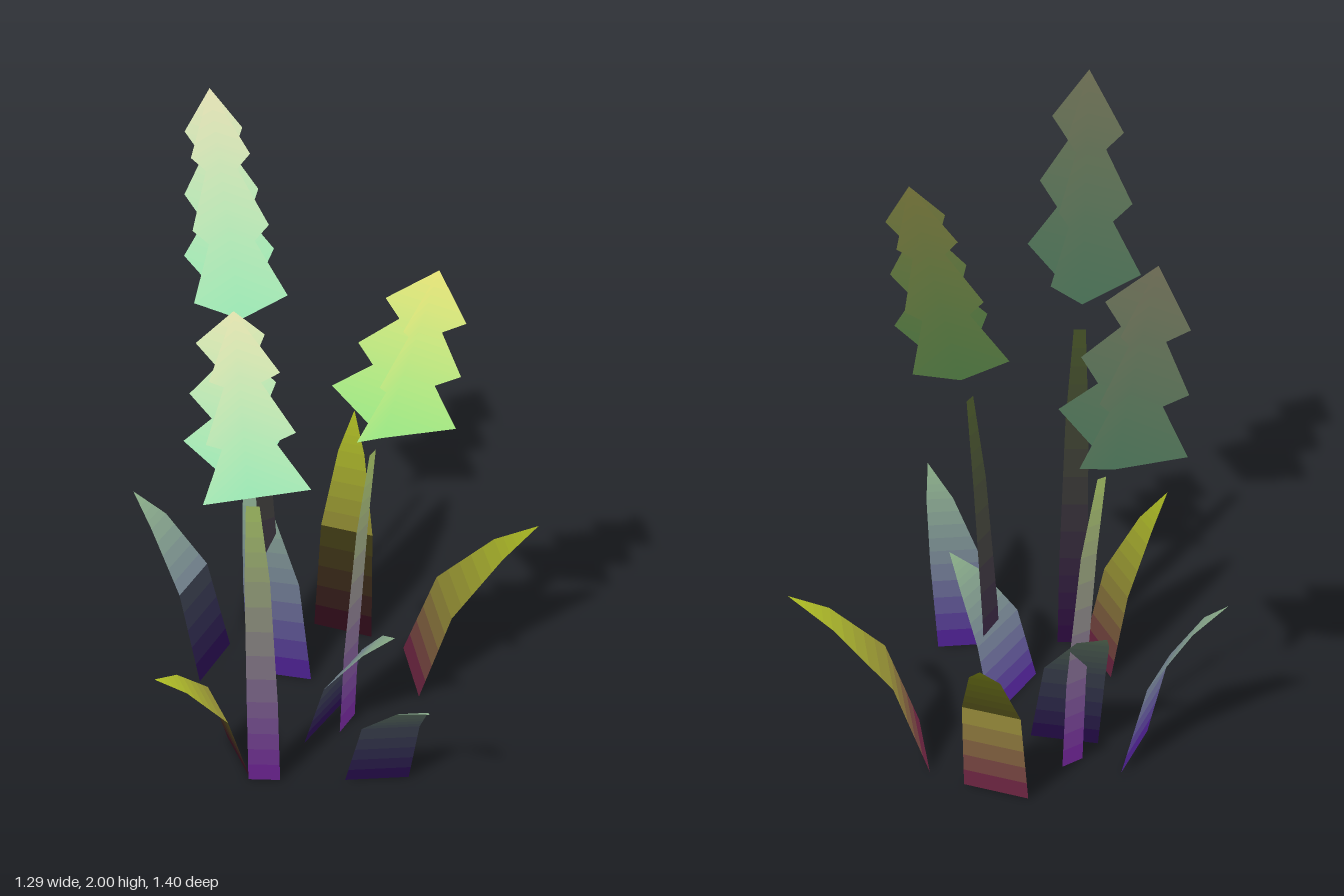
import * as THREE from 'three';

const V = (x, y, z) => new THREE.Vector3(x, y, z);
const STEPS = 5; // colour bands between two rows

// Ribbon through rows of {left, right, t}; bands are tinted from base to tip colour.
// The whole ribbon shares one shading normal, as foliage lit from above.
function ribbon(name, rows, normal, baseColor, tipColor) {
  const group = new THREE.Group();
  group.name = name;
  const addBand = (a, b) => {
    const points = [];
    if (a.left.distanceTo(a.right) > 1e-5) points.push(a.left, a.right, b.right);
    if (b.left.distanceTo(b.right) > 1e-5) points.push(a.left, b.right, b.left);
    const geometry = new THREE.BufferGeometry().setFromPoints(points);
    const normals = points.flatMap(() => normal.toArray());
    geometry.setAttribute('normal', new THREE.Float32BufferAttribute(normals, 3));
    const mix = ((a.t + b.t) / 2) ** 1.4;
    const color = new THREE.Color(baseColor).lerp(new THREE.Color(tipColor), mix);
    const mesh = new THREE.Mesh(geometry, new THREE.MeshStandardMaterial({ color, side: THREE.DoubleSide }));
    mesh.name = name + 'Band';
    group.add(mesh);
  };
  for (let i = 1; i < rows.length; i++) {
    const a = rows[i - 1], b = rows[i];
    const between = s => ({ left: a.left.clone().lerp(b.left, s), right: a.right.clone().lerp(b.right, s),
      t: a.t + (b.t - a.t) * s });
    for (let k = 0; k < STEPS; k++) addBand(between(k / STEPS), between((k + 1) / STEPS));
  }
  return group;
}

// Profiles: [height fraction, outward fraction, width fraction]
const LEAF = [[0, 0, 1], [0.53, 0.25, 0.87], [0.85, 0.68, 0.44], [1, 1, 0]];
const STEM = [[0, 0, 1], [0.3, 0.12, 0.94], [0.74, 0.56, 0.72], [1, 1, 0.37]];

// Bent blade from a ground edge (p to q, as [x, z]) to the middle of its tip.
function blade(name, profile, [p, q, tip], baseColor, tipColor) {
  const mid = V((p[0] + q[0]) / 2, 0, (p[1] + q[1]) / 2);
  const half = V((q[0] - p[0]) / 2, 0, (q[1] - p[1]) / 2);
  const end = V(...tip);
  const rows = profile.map(([h, out, w]) => {
    const c = mid.clone().lerp(end, out);
    c.y = end.y * h;
    return { left: c.clone().addScaledVector(half, -w), right: c.clone().addScaledVector(half, w), t: h };
  });
  // Shading normal: upward, tilted a little the way the blade leans
  const normal = V(end.x - mid.x, 0, end.z - mid.z).setLength(0.22).add(V(0, 1, 0)).normalize();
  return ribbon(name, rows, normal, baseColor, tipColor);
}

// Flower head: two crossed jagged sheets along a leaning axis.
// Profile: [fraction along the axis, half width]
const HEAD = [[0, 0], [0.2, 0.205], [0.395, 0.1], [0.49, 0.165], [0.69, 0.067], [0.775, 0.126], [1, 0]];
const HEAD_NORMAL = V(0.25, 0.93, 0.25).normalize();

function flowerHead(bottom, top, turn, baseColor, tipColor) {
  const group = new THREE.Group();
  group.name = 'flowerHead';
  for (const angle of [turn, turn - Math.PI / 2]) {
    const dir = V(Math.cos(angle), 0, -Math.sin(angle));
    // The second sheet runs front to back and is wound to face the other way
    const side = angle === turn ? 1 : -1;
    const rows = HEAD.map(([t, w]) => {
      const c = V(...bottom).lerp(V(...top), t);
      return { left: c.clone().addScaledVector(dir, -w * side), right: c.clone().addScaledVector(dir, w * side), t };
    });
    group.add(ribbon('petalSheet', rows, HEAD_NORMAL, baseColor, tipColor));
  }
  return group;
}

export function createModel() {
  const model = new THREE.Group();
  model.name = 'plant';

  // Grey-green leaves with purple bases
  const greenLeaves = [
    [[-0.38, -0.16], [-0.363, 0.054], [-0.64, 0.69, 0]],
    [[-0.04, -0.16], [-0.25, -0.08], [-0.4, 0.69, -0.32]],
    [[0.113, -0.158], [0.1, 0.11], [0.36, 0.51, -0.01]],
    [[0.3, 0.18], [0.47, 0.058], [0.645, 0.585, 0.295]],
  ];
  for (const l of greenLeaves) model.add(blade('leaf', LEAF, l, 0x441084, 0x8cb088));

  // Yellow-green leaves with dark red bases
  const yellowLeaves = [
    [[0.03, -0.46], [-0.18, -0.41], [-0.2, 0.765, -0.7]],
    [[0.155, -0.47], [0.32, -0.285], [0.565, 0.65, -0.595]],
    [[-0.132, 0.225], [0.035, 0.34], [-0.14, 0.565, 0.587]],
  ];
  for (const l of yellowLeaves) model.add(blade('yellowLeaf', LEAF, l, 0x5c1038, 0xacbc20));

  // Stems
  const stems = [
    [[0.03, 0.345], [0.12, 0.293], [0.112, 1.22, 0.41]],
    [[-0.203, -0.233], [-0.24, -0.166], [-0.343, 1.22, -0.27]],
    [[0.175, -0.095], [0.175, 0.005], [0.238, 1.17, -0.045]],
  ];
  for (const s of stems) model.add(blade('stem', STEM, s, 0x581878, 0x88a050));

  // Flower heads
  model.add(flowerHead([0.13, 1.285, 0.455], [0.205, 2, 0.615], 0, 0x98e4b0, 0xe0e0ac));
  model.add(flowerHead([-0.395, 1.285, -0.3], [-0.55, 2, -0.39], -0.07, 0x98e4b0, 0xe0dcb0));
  model.add(flowerHead([0.265, 1.23, -0.05], [0.415, 1.84, -0.06], 0, 0x98e480, 0xe4e074));

  return model;
}
